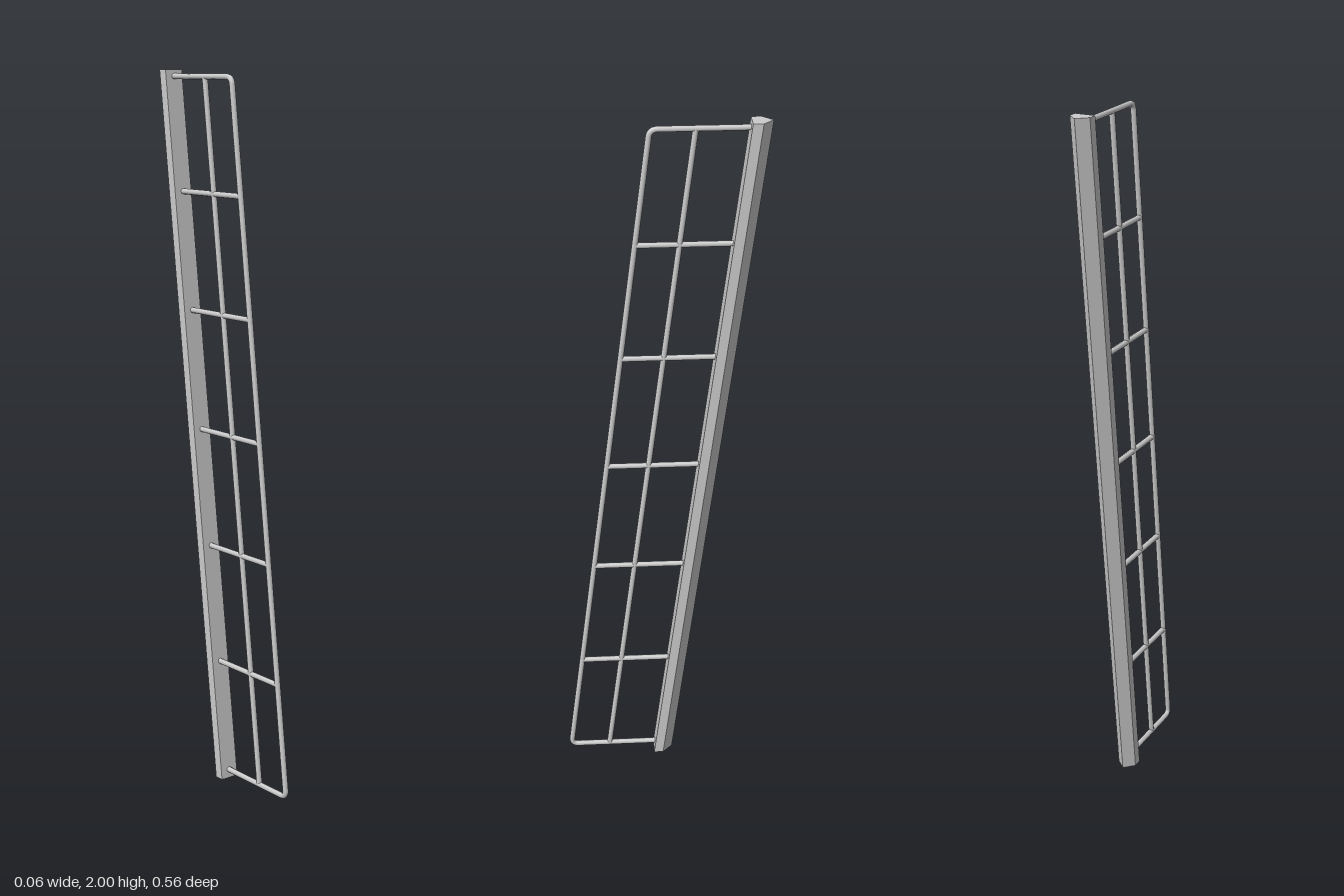
import * as THREE from 'three';

const SLOPE = -0.125; // z change per unit of height
const R = 0.008;      // rod radius
const BOTTOM = 0.024, TOP = 1.982;
const OUTER = 0.274, INNER = 0.158, POST = 0.01; // z of each line at y = 0

export function createModel() {
  const group = new THREE.Group();
  const material = new THREE.MeshStandardMaterial({ color: 0xcccccc });

  const add = (name, geometry) => {
    const mesh = new THREE.Mesh(geometry, material);
    mesh.name = name;
    group.add(mesh);
  };
  // Point on a leaning line
  const at = (base, y) => new THREE.Vector3(0, y, base + SLOPE * y);
  const rod = (name, a, b) =>
    add(name, new THREE.TubeGeometry(new THREE.LineCurve3(a, b), 1, R, 8));
  const bend = (name, a, corner, b) =>
    add(name, new THREE.TubeGeometry(new THREE.QuadraticBezierCurve3(a, corner, b), 6, R, 8));

  // Leaning post: five-sided section with a ridge at the back, level ends
  const section = new THREE.Shape([
    [-0.028, -0.02], [0.028, -0.02], [0.028, 0.007], [0, 0.035], [-0.028, 0.007],
  ].map(([x, y]) => new THREE.Vector2(x, y)));
  const post = new THREE.ExtrudeGeometry(section, { depth: 2, bevelEnabled: false });
  post.rotateX(-Math.PI / 2);
  post.applyMatrix4(new THREE.Matrix4().set(1, 0, 0, 0, 0, 1, 0, 0, 0, SLOPE, 1, 0, 0, 0, 0, 1));
  post.computeVertexNormals();
  add('post', post);

  // Outer frame: end rods, rounded corners and long outer rod
  const r = 0.02;
  for (const [label, y, dir] of [['bottom', BOTTOM, 1], ['top', TOP, -1]]) {
    const corner = at(OUTER, y);
    const inside = corner.clone().setZ(corner.z - r);
    rod(label + 'Rod', at(POST, y), inside);
    bend(label + 'Corner', inside, corner, at(OUTER, y + dir * r));
  }
  rod('outerRod', at(OUTER, BOTTOM + r), at(OUTER, TOP - r));

  // Long middle rod
  rod('middleRod', at(INNER, BOTTOM), at(INNER, TOP));

  // Level rungs from the outer rod into the post
  for (const y of [0.342, 0.676, 1.007, 1.341, 1.669]) rod('rung', at(POST, y), at(OUTER, y));

  return group;
}
